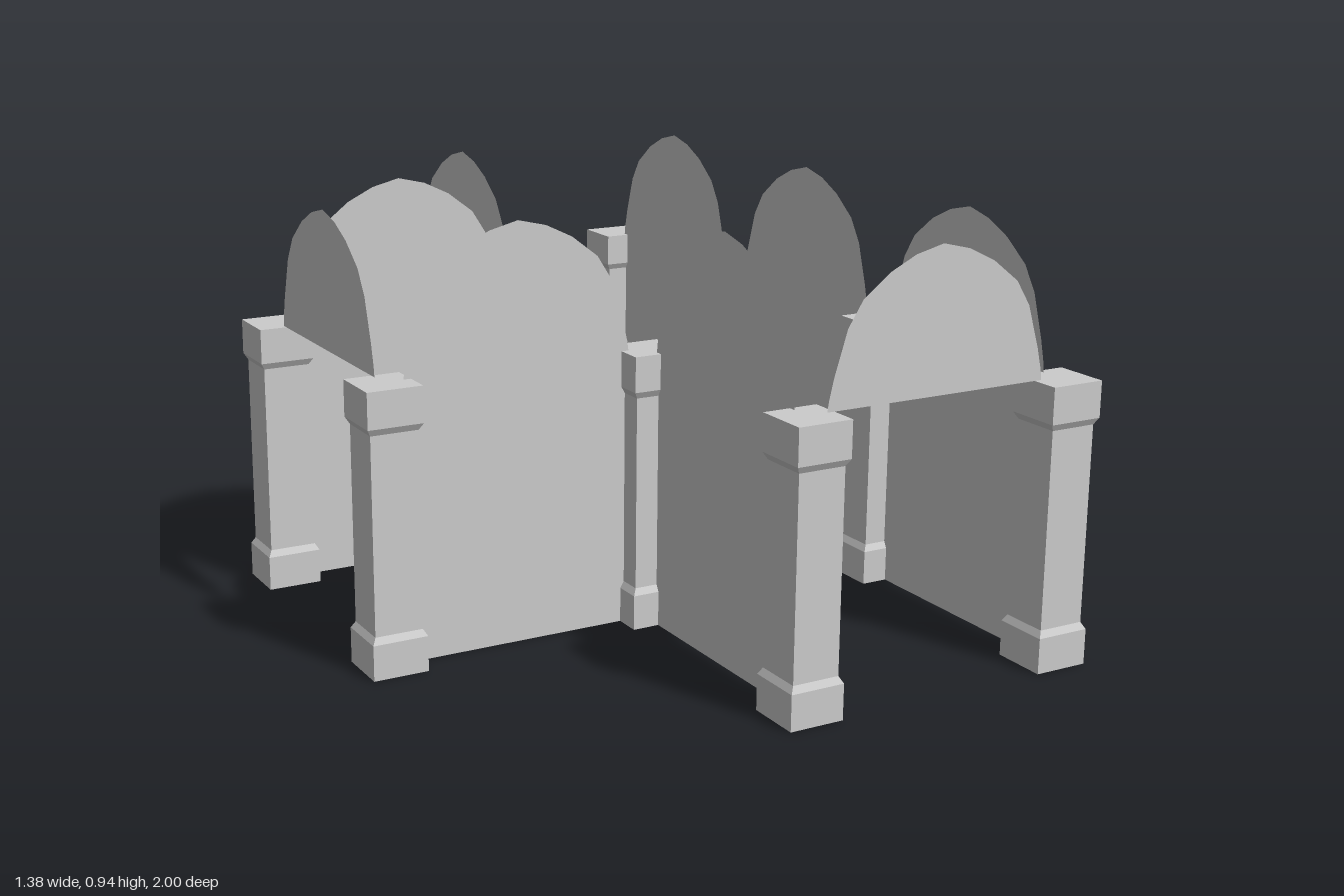
import * as THREE from 'three';

const BAY = 0.625; // spacing between pillar centres
const stone = new THREE.MeshStandardMaterial({ color: 0xcccccc, flatShading: true, side: THREE.DoubleSide });
stone.name = 'grey stone';

// Square pillar: half-width profile turned in four sides
function pillarGeometry() {
  const profile = [
    [0, 0], [0.0625, 0], [0.0625, 0.079], [0.054, 0.094],
    [0.054, 0.531], [0.0625, 0.546], [0.0625, 0.626], [0, 0.626],
  ].map(([half, y]) => new THREE.Vector2(half * Math.SQRT2, y));
  return new THREE.LatheGeometry(profile, 4).rotateY(Math.PI / 4);
}

// Flat arched panel, starting at the given height
function archGeometry(bottom) {
  const side = [[0.267, 0.626], [0.264, 0.648], [0.253, 0.695], [0.224, 0.789],
    [0.19, 0.843], [0.128, 0.891], [0.066, 0.921]];
  const outline = [
    ...(bottom < 0.626 ? [[0.267, bottom]] : []), ...side, [0, 0.937],
    ...side.map(([x, y]) => [-x, y]).reverse(),
    ...(bottom < 0.626 ? [[-0.267, bottom]] : []),
  ];
  return new THREE.ShapeGeometry(new THREE.Shape(outline.map(([x, y]) => new THREE.Vector2(x, y))));
}

export function createModel() {
  const group = new THREE.Group();
  group.name = 'arcade';
  const pillar = pillarGeometry();
  const wall = archGeometry(0);
  const lunette = archGeometry(0.626);

  // Positions are in bays from the centre
  const add = (geometry, name, x, z, turn = 0) => {
    const mesh = new THREE.Mesh(geometry, stone);
    mesh.name = name;
    mesh.position.set(x * BAY, 0, z * BAY);
    mesh.rotation.y = turn;
    group.add(mesh);
  };

  // Pillars: two rows of four and a shorter row of two
  for (const x of [0, 1]) for (const z of [-1.5, -0.5, 0.5, 1.5]) add(pillar, 'pillar', x, z);
  for (const z of [-0.5, 0.5]) add(pillar, 'pillar', -1, z);

  // Arched walls running front to back
  const side = Math.PI / 2;
  for (const z of [-1, 0, 1]) add(wall, 'archedWall', 1, z, side);
  for (const z of [-1, 1]) add(wall, 'archedWall', 0, z, side);

  // Arched walls running across
  for (const z of [-0.5, 0.5]) add(wall, 'archedWall', -0.5, z);

  // Openings with only the arch filled
  add(lunette, 'archOverOpening', 0.5, 1.5);
  add(lunette, 'archOverOpening', -1, 0, side);

  return group;
}
